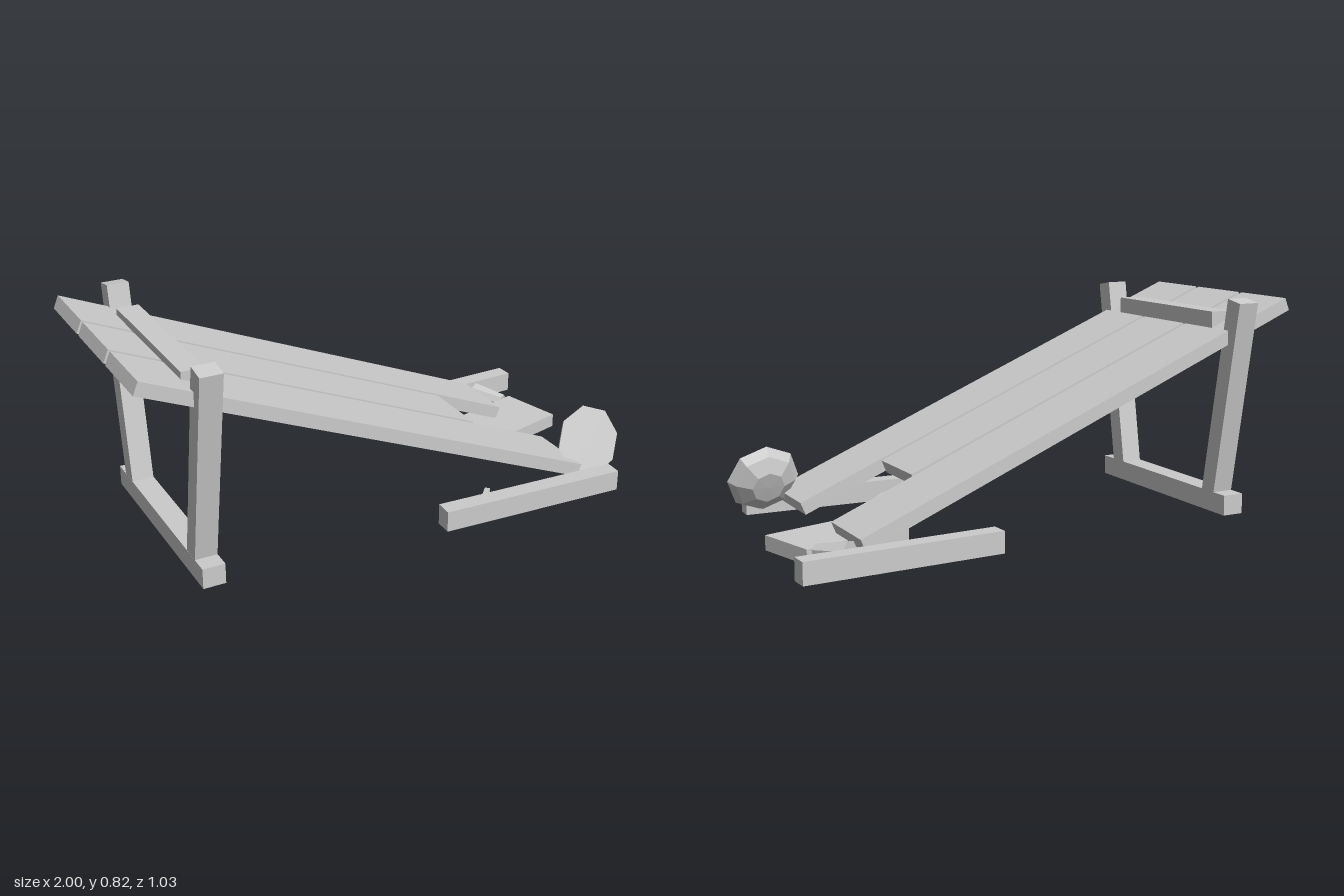
import * as THREE from 'three';

export function createModel() {
  const model = new THREE.Group();
  const mat = new THREE.MeshStandardMaterial({ color: 0xcccccc, flatShading: true });

  const add = (name, geometry, x, y, z, parent = model) => {
    const mesh = new THREE.Mesh(geometry, mat);
    mesh.name = name;
    mesh.position.set(x, y, z);
    parent.add(mesh);
    return mesh;
  };
  const box = (name, w, h, d, x, y, z, parent) =>
    add(name, new THREE.BoxGeometry(w, h, d), x, y, z, parent);

  // Sloping table top: three planks, the middle one snapped short
  const top = new THREE.Group();
  top.name = 'tableTop';
  top.position.set(-0.98, 0.812, 0);
  top.rotation.z = -Math.atan2(0.717, 1.74);
  model.add(top);
  const t = 0.05;
  for (const [name, length, z] of [
    ['frontPlank', 1.88, 0.289],
    ['middlePlank', 1.54, 0.004],
    ['backPlank', 1.88, -0.282],
  ]) box(name, length, t, 0.267, length / 2, -t / 2, z, top);

  // Standing trestle: batten on the planks, foot bar and two splayed posts
  const legX = -0.758;
  box('batten', 0.084, 0.063, 0.63, legX, 0.733, 0);
  box('footBar', 0.084, 0.077, 0.84, legX, 0.0385, 0);
  for (const s of [1, -1]) {
    const post = box('post', 0.083, 0.77, 0.073, legX, 0.435, s * 0.378);
    post.rotation.x = s * 0.175;
  }

  // Fallen beams on the ground
  box('frontBeam', 0.74, 0.08, 0.067, 0.5, 0.04, 0.46).rotation.y = -0.04;
  box('backBeam', 0.74, 0.08, 0.067, 0.63, 0.04, -0.468).rotation.y = 0.043;

  // Broken-off plank end lying flat
  box('plankFragment', 0.435, 0.054, 0.248, 0.725, 0.027, -0.125).rotation.y = 0.256;

  // Peg stuck through the front beam
  box('peg', 0.2, 0.025, 0.02, 0.335, 0.02, 0.39).rotation.y = Math.atan2(0.14, 0.13);

  // Eight-sided bowl leaning at the foot of the table
  const bowlProfile = [[0, -0.07], [0.062, -0.068], [0.115, -0.036], [0.138, 0], [0, 0]]
    .map(([r, y]) => new THREE.Vector2(r, y));
  const bowl = add('bowl', new THREE.LatheGeometry(bowlProfile, 8), 0.828, 0.155, 0.364);
  bowl.rotation.x = 1.2;

  // Small cup tipped on its side, wide end to the back
  const cup = add('cup', new THREE.CylinderGeometry(0.046, 0.028, 0.133, 7), 0.829, 0.045, -0.346);
  cup.quaternion.setFromUnitVectors(
    new THREE.Vector3(0, 1, 0),
    new THREE.Vector3(-0.078, 0.008, -0.11).normalize());

  return model;
}
